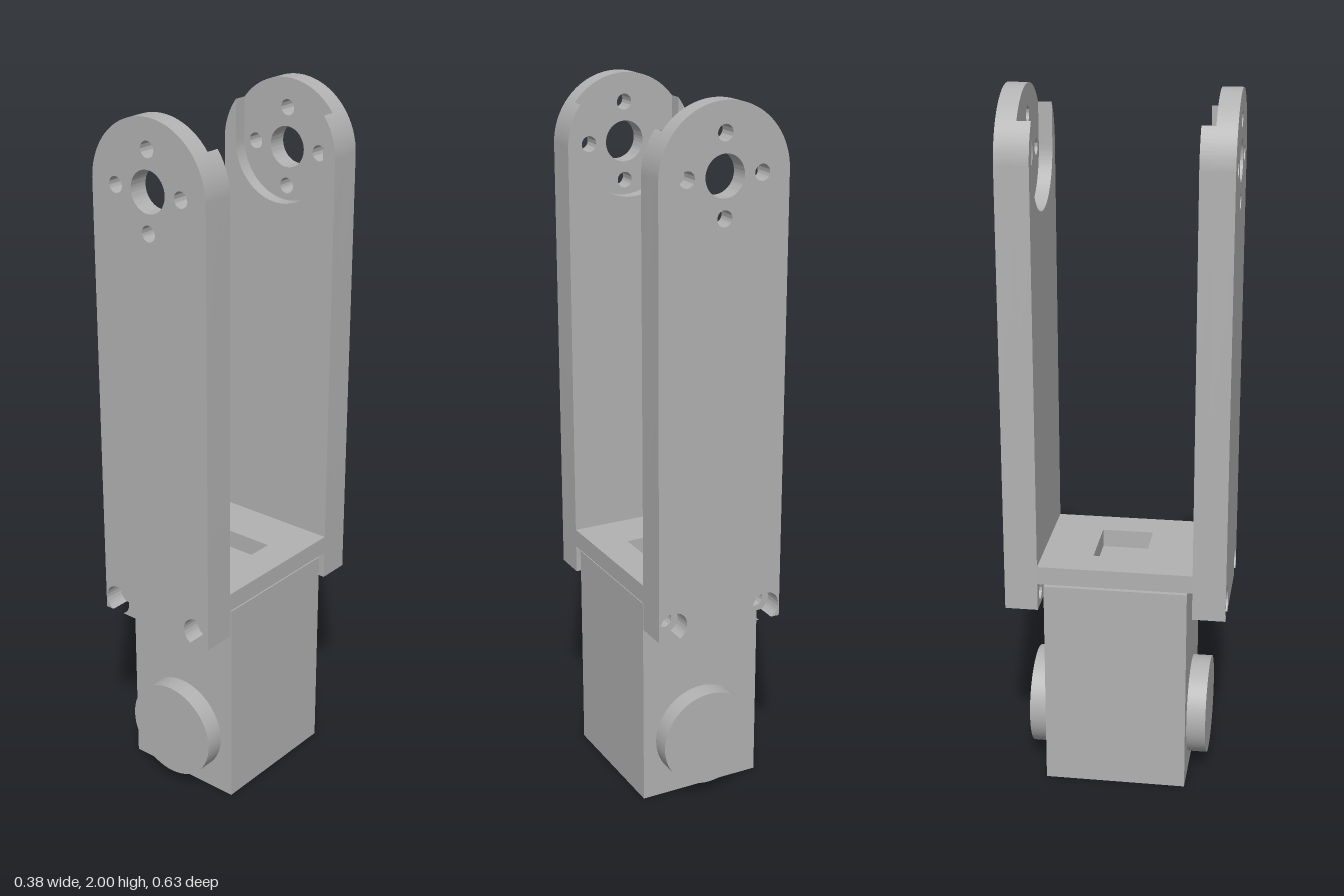
import * as THREE from 'three';
import { toCreasedNormals } from 'three/addons/utils/BufferGeometryUtils.js';

const HALF = 0.19, BASE = 0.55, PIVOT = 1.812;   // arm half width, foot and pivot height
const INNER = 0.22, STEP = 0.258, OUTER = 0.314; // arm layers along z
const SCREW_X = 0.145, SCREW_Y = 0.587, BORE = 0.042;

function hole(shape, x, y, r) {
  const path = new THREE.Path();
  path.absarc(x, y, r, 0, Math.PI * 2, true);
  shape.holes.push(path);
}

function extrude(shape, depth) {
  const geo = new THREE.ExtrudeGeometry(shape, { depth, bevelEnabled: false, curveSegments: 40 });
  return toCreasedNormals(geo, 0.5);
}

// Outer arm layer: round top, horn holes, screw counterbores breaking the bottom edge
function outerShape() {
  const s = new THREE.Shape();
  const drop = SCREW_Y - BASE, w = Math.sqrt(BORE * BORE - drop * drop);
  s.moveTo(-HALF, BASE);
  for (const cx of [-SCREW_X, SCREW_X]) {
    s.lineTo(cx - w, BASE);
    s.absarc(cx, SCREW_Y, BORE, Math.atan2(-drop, -w), Math.atan2(-drop, w), true);
  }
  s.lineTo(HALF, BASE);
  s.lineTo(HALF, PIVOT);
  s.absarc(0, PIVOT, HALF, 0, Math.PI, false);
  s.closePath();
  hole(s, 0, PIVOT, 0.057);
  for (const [x, y] of [[1, 0], [-1, 0], [0, 1], [0, -1]]) hole(s, x * 0.109, PIVOT + y * 0.109, 0.022);
  return s;
}

// Inner arm layer: U-shaped horn recess open at the top, narrow screw holes
function innerShape() {
  const s = new THREE.Shape(), r = 0.15, a = Math.acos(r / HALF);
  s.moveTo(-HALF, BASE);
  s.lineTo(HALF, BASE);
  s.lineTo(HALF, PIVOT);
  s.absarc(0, PIVOT, HALF, 0, a, false);
  s.lineTo(r, PIVOT);
  s.absarc(0, PIVOT, r, 0, -Math.PI, true);
  s.lineTo(-r, PIVOT + HALF * Math.sin(a));
  s.absarc(0, PIVOT, HALF, Math.PI - a, Math.PI, false);
  s.closePath();
  for (const cx of [-SCREW_X, SCREW_X]) hole(s, cx, SCREW_Y, 0.022);
  return s;
}

export function createModel() {
  const model = new THREE.Group();
  model.name = 'servoBracket';
  const grey = new THREE.MeshStandardMaterial({ color: 0xb2b2b2 });
  grey.name = 'grey';

  function add(name, geo, parent = model) {
    const mesh = new THREE.Mesh(geo, grey);
    mesh.name = name;
    parent.add(mesh);
    return mesh;
  }

  // Two arms, front and back
  const outerGeo = extrude(outerShape(), OUTER - STEP);
  const innerGeo = extrude(innerShape(), STEP - INNER);
  for (const [name, turn] of [['frontArm', 0], ['backArm', Math.PI]]) {
    const arm = new THREE.Group();
    arm.name = name;
    arm.rotation.y = turn;
    add('armOuterLayer', outerGeo, arm).position.z = STEP;
    add('armInnerLayer', innerGeo, arm).position.z = INNER;
    model.add(arm);
  }

  // Cross plate with a rectangular cable window
  const plate = new THREE.Shape();
  plate.moveTo(-HALF, -INNER);
  plate.lineTo(HALF, -INNER);
  plate.lineTo(HALF, INNER);
  plate.lineTo(-HALF, INNER);
  plate.closePath();
  const win = new THREE.Path();
  win.moveTo(-0.092, -0.074);
  win.lineTo(-0.092, 0.074);
  win.lineTo(0.092, 0.074);
  win.lineTo(0.092, -0.074);
  win.closePath();
  plate.holes.push(win);
  const cross = add('crossPlate', extrude(plate, 0.053));
  cross.rotation.x = -Math.PI / 2;
  cross.position.y = 0.631;

  // Motor body with a round horn on each side
  add('motorBody', new THREE.BoxGeometry(0.366, 0.621, 0.408)).position.y = 0.3105;
  const hornGeo = new THREE.CylinderGeometry(0.143, 0.143, 0.07, 64);
  for (const side of [1, -1]) {
    const horn = add(side > 0 ? 'frontHorn' : 'backHorn', hornGeo);
    horn.rotation.x = Math.PI / 2;
    horn.position.set(0, 0.178, side * 0.224);
  }
  return model;
}
